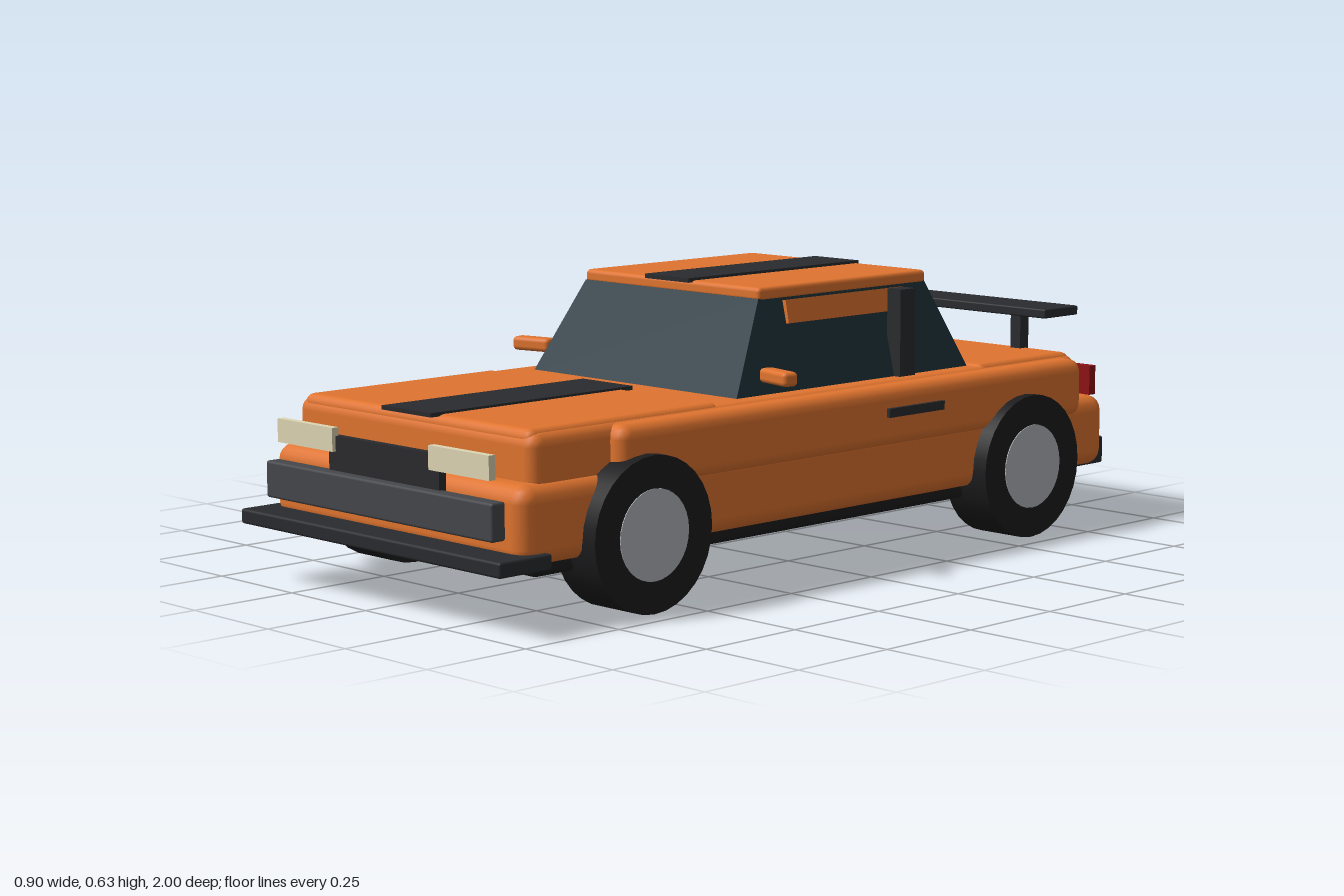
import * as THREE from 'three';
import { RoundedBoxGeometry } from 'three/addons/geometries/RoundedBoxGeometry.js';

const mat = (color) => new THREE.MeshStandardMaterial({ color });

export function createModel() {
  const car = new THREE.Group();
  car.name = 'car';
  const orange = mat(0xe0742f), dark = mat(0x2a2b2e), black = mat(0x1c1c1e);
  const glass = mat(0x20343e), grey = mat(0x45474b), cream = mat(0xded6b4);
  const red = mat(0x8f1014), silver = mat(0xb4b8bc);

  const add = (name, geometry, material) => {
    const mesh = new THREE.Mesh(geometry, material);
    mesh.name = name;
    car.add(mesh);
    return mesh;
  };
  // Box given by its extents on each axis; r rounds the edges
  const box = (name, material, [x0, x1], [y0, y1], [z0, z1], r = 0) => {
    const size = [x1 - x0, y1 - y0, z1 - z0];
    const geometry = r ? new RoundedBoxGeometry(...size, 2, r) : new THREE.BoxGeometry(...size);
    const mesh = add(name, geometry, material);
    mesh.position.set((x0 + x1) / 2, (y0 + y1) / 2, (z0 + z1) / 2);
    return mesh;
  };
  const span = (s, a, b) => (s > 0 ? [a, b] : [-b, -a]);

  // Body
  box('chassis', black, [-0.37, 0.37], [0.1, 0.17], [-0.86, 0.86], 0.015);
  box('lowerBody', orange, [-0.41, 0.41], [0.13, 0.298], [-0.925, 0.925], 0.038);
  box('upperBody', orange, [-0.385, 0.385], [0.27, 0.398], [-0.85, 0.875], 0.03);
  box('beltBody', orange, [-0.422, 0.422], [0.258, 0.394], [-0.825, 0.665], 0.03);
  box('hood', orange, [-0.37, 0.37], [0.36, 0.404], [0.33, 0.87], 0.02);
  box('trunkLid', orange, [-0.37, 0.37], [0.36, 0.404], [-0.84, -0.51], 0.02);

  // Cabin glass: a box whose top is drawn in
  const cabin = new THREE.BoxGeometry(1, 1, 1);
  const p = cabin.attributes.position;
  for (let i = 0; i < p.count; i++) {
    const top = p.getY(i) > 0;
    const front = p.getZ(i) > 0;
    p.setXYZ(i, Math.sign(p.getX(i)) * (top ? 0.277 : 0.328), top ? 0.6 : 0.39,
      front ? (top ? 0.125 : 0.245) : (top ? -0.415 : -0.515));
  }
  cabin.computeVertexNormals();
  add('cabinGlass', cabin, glass);
  box('roof', orange, [-0.279, 0.279], [0.593, 0.624], [-0.42, 0.125], 0.01);

  // Stripes
  box('roofStripe', dark, [-0.07, 0.07], [0.62, 0.63], [-0.42, 0.135]);
  box('hoodStripe', dark, [-0.08, 0.08], [0.4, 0.409], [0.315, 0.885]);

  // Nose
  box('frontSplitter', dark, [-0.425, 0.425], [0.127, 0.16], [0.86, 1], 0.006);
  box('frontPanel', grey, [-0.37, 0.37], [0.188, 0.268], [0.935, 0.972], 0.006);
  box('grille', dark, [-0.18, 0.18], [0.265, 0.342], [0.93, 0.948]);

  // Tail
  box('rearBumper', dark, [-0.355, 0.355], [0.12, 0.185], [-0.985, -0.86], 0.006);
  box('tailLightBar', red, [-0.19, 0.19], [0.31, 0.357], [-0.942, -0.93]);
  box('spoilerWing', dark, [-0.355, 0.355], [0.488, 0.51], [-0.88, -0.757], 0.004);

  for (const s of [1, -1]) {
    const side = s > 0 ? 'left' : 'right';
    box(side + 'Headlight', cream, span(s, 0.157, 0.345), [0.309, 0.36], [0.94, 0.957]);
    box(side + 'TailLight', red, span(s, 0.185, 0.355), [0.29, 0.36], [-0.95, -0.928]);
    box(side + 'BumperLight', silver, span(s, 0.16, 0.25), [0.135, 0.167], [-1, -0.975], 0.004);
    box(side + 'SpoilerStrut', dark, span(s, 0.215, 0.245), [0.39, 0.492], [-0.83, -0.8]);
    box(side + 'Pillar', dark, span(s, 0.304, 0.344), [0.385, 0.595], [-0.312, -0.262]);
    box(side + 'DoorHandle', dark, span(s, 0.415, 0.432), [0.328, 0.348], [-0.315, -0.133]);

    // Trim leaning with the side window
    const trim = box(side + 'WindowTrim', orange, span(s, 0.274, 0.294), [0.54, 0.592], [-0.33, 0.052]);
    trim.rotation.z = s * 0.2;

    const mirror = box(side + 'Mirror', orange, span(s, 0.342, 0.444), [0.43, 0.462], [0.162, 0.2], 0.01);
    mirror.rotation.y = -s * 0.22;

    // Wheels, with the hub showing on both faces
    for (const [end, z] of [['Front', 0.6], ['Rear', -0.607]]) {
      const wheel = new THREE.Group();
      wheel.name = side + end + 'Wheel';
      const tire = new THREE.Mesh(new THREE.CylinderGeometry(0.166, 0.166, 0.122, 32), black);
      tire.name = 'tire';
      const hub = new THREE.Mesh(new THREE.CylinderGeometry(0.097, 0.097, 0.126, 32), silver);
      hub.name = 'hub';
      wheel.add(tire, hub);
      wheel.rotation.z = Math.PI / 2;
      wheel.position.set(s * 0.386, 0.166, z);
      car.add(wheel);
    }
  }
  return car;
}
